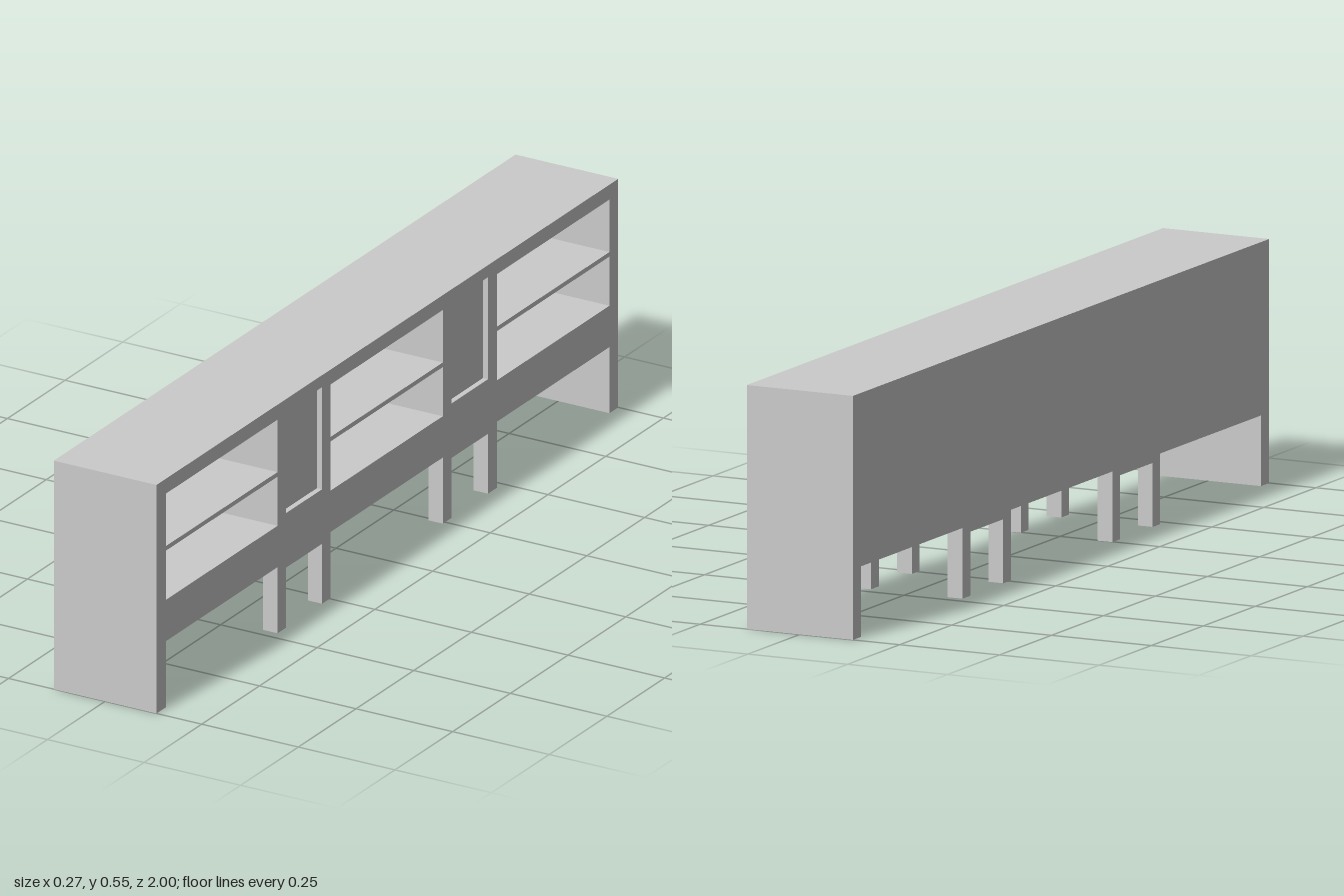
import * as THREE from 'three';

const HALF = 0.133;   // half depth in x, the open side faces +x
const TOP = 0.553;
const BACK = 0.015;   // back panel thickness

export function createModel() {
  const root = new THREE.Group();
  root.name = 'sideboard';
  const mat = new THREE.MeshStandardMaterial({ color: 0xcccccc, flatShading: true });

  // box from min/max bounds
  function box(parent, name, x0, x1, y0, y1, z0, z1) {
    const m = new THREE.Mesh(new THREE.BoxGeometry(x1 - x0, y1 - y0, z1 - z0), mat);
    m.position.set((x0 + x1) / 2, (y0 + y1) / 2, (z0 + z1) / 2);
    m.name = name;
    parent.add(m);
  }

  // end panels reaching the floor
  for (const [z0, z1] of [[0.96, 1], [-1, -0.962]]) {
    box(root, 'endPanel', -HALF, HALF, 0, TOP, z0, z1);
  }

  // upright dividers, each on a pair of legs
  for (const [z0, z1] of [[0.44, 0.476], [0.246, 0.283], [-0.278, -0.24], [-0.474, -0.436]]) {
    box(root, 'divider', -HALF, HALF, 0.145, TOP, z0, z1);
    for (const x of [-HALF, HALF - 0.037]) {
      box(root, 'leg', x, x + 0.037, 0, 0.145, z0, z1);
    }
  }

  // open bays with one thin middle shelf
  for (const [z0, z1] of [[0.476, 0.96], [-0.24, 0.246], [-0.962, -0.474]]) {
    const bay = new THREE.Group();
    bay.name = 'shelfBay';
    root.add(bay);
    box(bay, 'base', -HALF, HALF, 0.16, 0.26, z0, z1);
    box(bay, 'topBoard', -HALF, HALF, 0.517, TOP, z0, z1);
    box(bay, 'backPanel', -HALF, -HALF + BACK, 0.26, 0.517, z0, z1);
    box(bay, 'shelf', -HALF + BACK, HALF, 0.379, 0.39, z0, z1);
  }

  // narrow cupboards with a slightly recessed door
  for (const [z0, z1] of [[0.283, 0.44], [-0.436, -0.278]]) {
    const bay = new THREE.Group();
    bay.name = 'cupboardBay';
    root.add(bay);
    box(bay, 'base', -HALF, HALF, 0.145, 0.277, z0, z1);
    box(bay, 'topBoard', -HALF, HALF, 0.524, TOP, z0, z1);
    box(bay, 'backPanel', -HALF, -HALF + BACK, 0.277, 0.524, z0, z1);
    box(bay, 'door', HALF - 0.03, HALF - 0.013, 0.277, 0.524, z0, z1);
  }

  return root;
}
